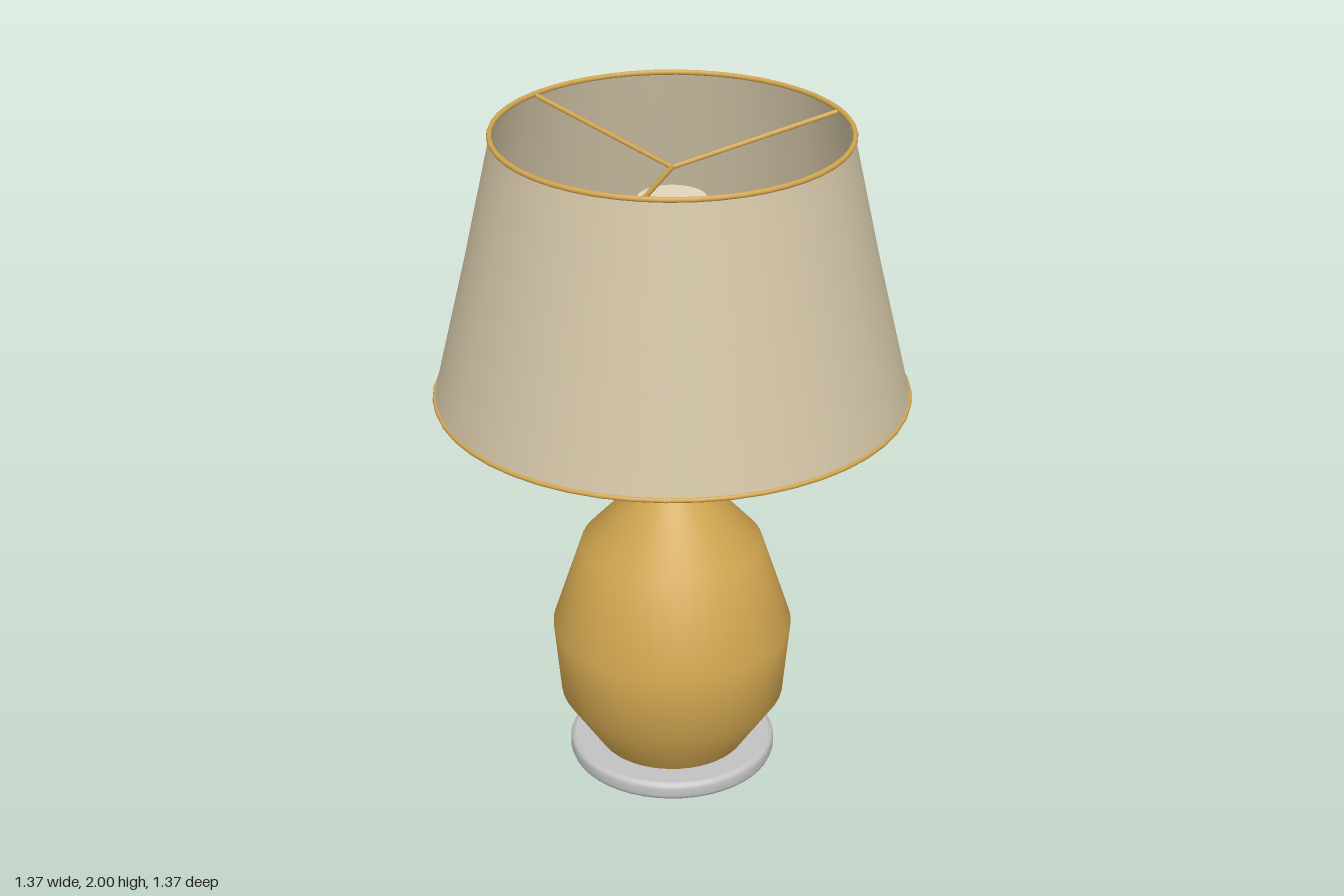
import * as THREE from 'three';

const SEGMENTS = 48;

function material(name, color, side = THREE.FrontSide) {
  const m = new THREE.MeshStandardMaterial({ color, side });
  m.name = name;
  return m;
}

// Turned part; a repeated profile point gives a sharp edge
function turned(name, profile, mat) {
  const points = profile.map(([r, y]) => new THREE.Vector2(r, y));
  const mesh = new THREE.Mesh(new THREE.LatheGeometry(points, SEGMENTS), mat);
  mesh.name = name;
  return mesh;
}

// Straight rod between two points
function rod(name, a, b, radius, mat) {
  const path = new THREE.LineCurve3(a, b);
  const mesh = new THREE.Mesh(new THREE.TubeGeometry(path, 1, radius, 8), mat);
  mesh.name = name;
  return mesh;
}

function ring(name, radius, y, tube, mat) {
  const mesh = new THREE.Mesh(new THREE.TorusGeometry(radius, tube, 8, SEGMENTS), mat);
  mesh.name = name;
  mesh.rotation.x = Math.PI / 2;
  mesh.position.y = y;
  return mesh;
}

export function createModel() {
  const lamp = new THREE.Group();
  lamp.name = 'tableLamp';

  const gold = material('gold', 0xd2a650);
  const grey = material('grey', 0xc2c2c2);
  const linen = material('linen', 0xd2c4a6, THREE.DoubleSide);
  const warmWhite = material('warmWhite', 0xe2d6ba);

  // Foot plate with softened edges
  lamp.add(turned('footPlate', [
    [0, 0], [0.295, 0], [0.295, 0], [0.306, 0.006], [0.31, 0.016],
    [0.31, 0.04], [0.306, 0.05], [0.295, 0.056], [0.295, 0.056], [0, 0.056],
  ], grey));

  // Vase-shaped body
  lamp.add(turned('body', [
    [0.22, 0.05], [0.335, 0.225], [0.356, 0.45], [0.268, 0.72],
    [0.109, 0.897], [0.09, 0.965], [0.09, 0.965], [0, 0.965],
  ], gold));

  // Stem and two-step bulb socket
  lamp.add(turned('stem', [[0.034, 0.95], [0.034, 1.37]], gold));
  lamp.add(turned('socket', [
    [0, 1.345], [0.078, 1.345], [0.078, 1.345], [0.078, 1.4], [0.078, 1.4],
    [0.087, 1.4], [0.087, 1.4], [0.087, 1.505], [0.087, 1.505], [0, 1.505],
  ], gold));

  // Bulb, flaring from the socket to a flat top
  lamp.add(turned('bulb', [
    [0.06, 1.5], [0.132, 1.64], [0.13, 1.7], [0.098, 1.8], [0.098, 1.8], [0, 1.8],
  ], warmWhite));

  // Open shade with gold rims
  lamp.add(turned('shade', [[0.68, 1.21], [0.582, 1.62], [0.5, 1.99]], linen));
  lamp.add(ring('lowerRim', 0.679, 1.212, 0.007, gold));
  lamp.add(ring('upperRim', 0.501, 1.992, 0.008, gold));

  // Three spokes falling from the upper rim to the centre
  const hub = new THREE.Vector3(0, 1.89, 0);
  for (let i = 0; i < 3; i++) {
    const a = (i * Math.PI * 2) / 3;
    const end = new THREE.Vector3(Math.cos(a) * 0.498, 1.988, Math.sin(a) * 0.498);
    lamp.add(rod('spoke', hub, end, 0.007, gold));
  }

  return lamp;
}
